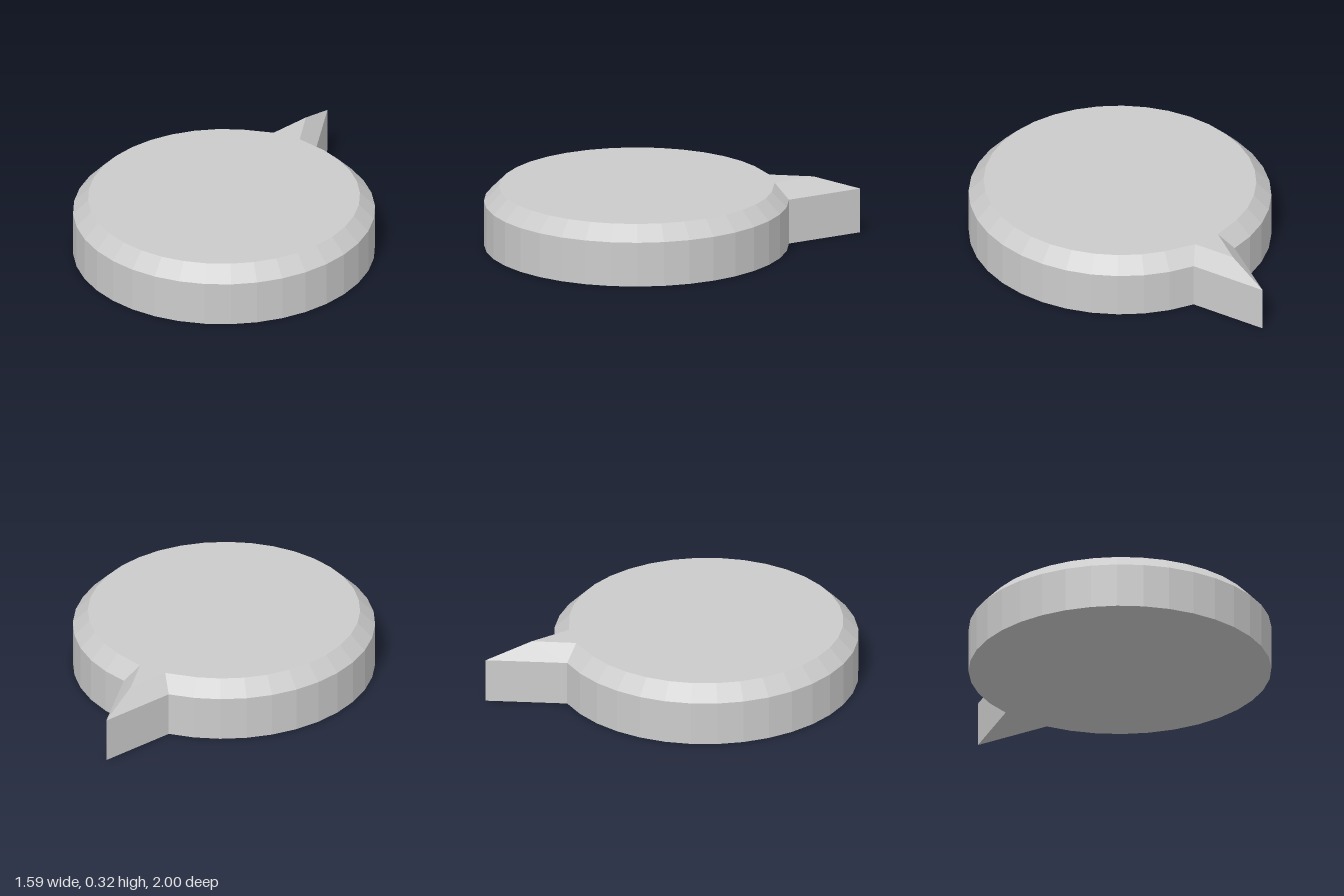
import * as THREE from 'three';

const STEPS = 36;
const CENTER_Z = 0.1975;

// Outline seen from above: a pointed tip at the back, then a rounded disc.
// The shoulder is where the disc meets the pointer on each side.
function outline(y, rx, rz, tipZ, shoulderX, shoulderZ) {
  const ring = [new THREE.Vector3(0, y, tipZ)];
  for (let k = 1; k < STEPS; k++) {
    const a = (k / STEPS) * Math.PI * 2;
    ring.push(new THREE.Vector3(rx * Math.sin(a), y, CENTER_Z - rz * Math.cos(a)));
  }
  ring[1].set(shoulderX, y, shoulderZ);
  ring[STEPS - 1].set(-shoulderX, y, shoulderZ);
  return ring;
}

function loft(rings) {
  const positions = [];
  const tri = (...points) => points.forEach((p) => positions.push(p.x, p.y, p.z));
  const bottom = rings[0];
  const top = rings[rings.length - 1];
  const bottomCenter = new THREE.Vector3(0, bottom[0].y, CENTER_Z);
  const topCenter = new THREE.Vector3(0, top[0].y, CENTER_Z);

  for (let i = 0; i < STEPS; i++) {
    const j = (i + 1) % STEPS;
    // Side wall and bevel
    for (let r = 0; r < rings.length - 1; r++) {
      const lo = rings[r];
      const hi = rings[r + 1];
      tri(lo[i], hi[i], hi[j]);
      tri(lo[i], hi[j], lo[j]);
    }
    // Flat caps
    tri(bottomCenter, bottom[i], bottom[j]);
    tri(topCenter, top[j], top[i]);
  }
  const geometry = new THREE.BufferGeometry();
  geometry.setAttribute('position', new THREE.Float32BufferAttribute(positions, 3));
  geometry.computeVertexNormals();
  return geometry;
}

export function createModel() {
  const group = new THREE.Group();
  group.name = 'pointerDisc';
  const material = new THREE.MeshStandardMaterial({ color: 0xcccccc, flatShading: true });

  // Straight wall up to 0.24, then a bevel to the smaller top face
  const rings = [
    outline(0, 0.793, 0.8025, -1, 0.138, -0.593),
    outline(0.24, 0.793, 0.8025, -1, 0.138, -0.593),
    outline(0.32, 0.714, 0.7225, -0.75, 0.077, -0.528),
  ];
  const disc = new THREE.Mesh(loft(rings), material);
  disc.name = 'discWithPointer';
  group.add(disc);
  return group;
}
